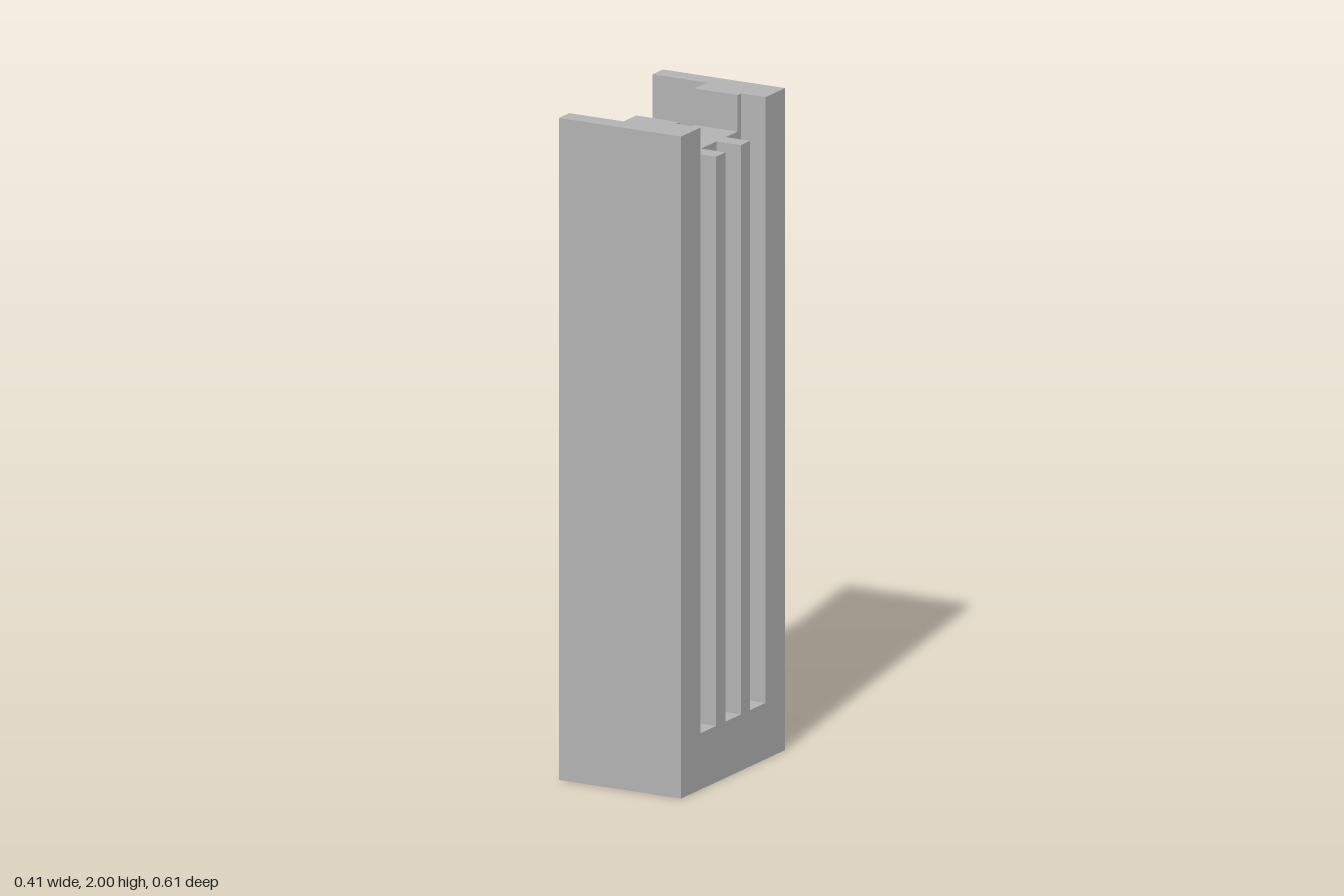
import * as THREE from 'three';

// Half width (x), half depth (z)
const W = 0.205, D = 0.305;
// Slots in the +x side: floor of groove (x), half width, centres (z)
const SLOT_X = 0.123, SLOT_HALF = 0.045, SLOT_Z = [-0.145, 0, 0.145];
// Pocket in the -x side: inner wall (x), half width (z); channel half width (z)
const POCKET_X = -0.023, POCKET_Z = 0.244, CHANNEL_Z = 0.17;
// Heights: slot floor, pocket floor, channel floor, top
const Y_SLOT = 0.17, Y_POCKET = 1.58, Y_CHANNEL = 1.89, Y_TOP = 2;

export function createModel() {
  const group = new THREE.Group();
  group.name = 'slottedBlock';
  const grey = new THREE.MeshStandardMaterial({ color: 0xb2b2b2 });
  grey.name = 'grey';

  // Raise a plan outline of [x, z] points from y0 to y1
  function addLayer(name, plan, y0, y1) {
    const shape = new THREE.Shape(plan.map(([x, z]) => new THREE.Vector2(x, -z)));
    const geometry = new THREE.ExtrudeGeometry(shape, { depth: y1 - y0, bevelEnabled: false });
    geometry.rotateX(-Math.PI / 2).translate(0, y0, 0);
    const mesh = new THREE.Mesh(geometry, grey);
    mesh.name = name;
    group.add(mesh);
  }

  // Plan outlines
  const slots = SLOT_Z.flatMap((c) => [
    [W, c - SLOT_HALF], [SLOT_X, c - SLOT_HALF], [SLOT_X, c + SLOT_HALF], [W, c + SLOT_HALF],
  ]);
  const slottedPlan = [[-W, -D], [W, -D], ...slots, [W, D], [-W, D]];
  const pocket = [[-W, POCKET_Z], [POCKET_X, POCKET_Z], [POCKET_X, -POCKET_Z], [-W, -POCKET_Z]];
  const slotEdge = SLOT_Z[2] + SLOT_HALF;
  const wallPlan = [
    [W, slotEdge], [W, D], [-W, D], [-W, POCKET_Z], [POCKET_X, POCKET_Z],
    [POCKET_X, CHANNEL_Z], [SLOT_X, CHANNEL_Z], [SLOT_X, slotEdge],
  ];

  // Solid foot, slotted column, then the part with the pocket
  addLayer('base', [[-W, -D], [W, -D], [W, D], [-W, D]], 0, Y_SLOT);
  addLayer('slottedColumn', slottedPlan, Y_SLOT, Y_POCKET);
  addLayer('pocketSection', [...slottedPlan, ...pocket], Y_POCKET, Y_CHANNEL);

  // Two walls either side of the top channel
  addLayer('frontTopWall', wallPlan, Y_CHANNEL, Y_TOP);
  addLayer('backTopWall', wallPlan.map(([x, z]) => [x, -z]), Y_CHANNEL, Y_TOP);

  return group;
}
